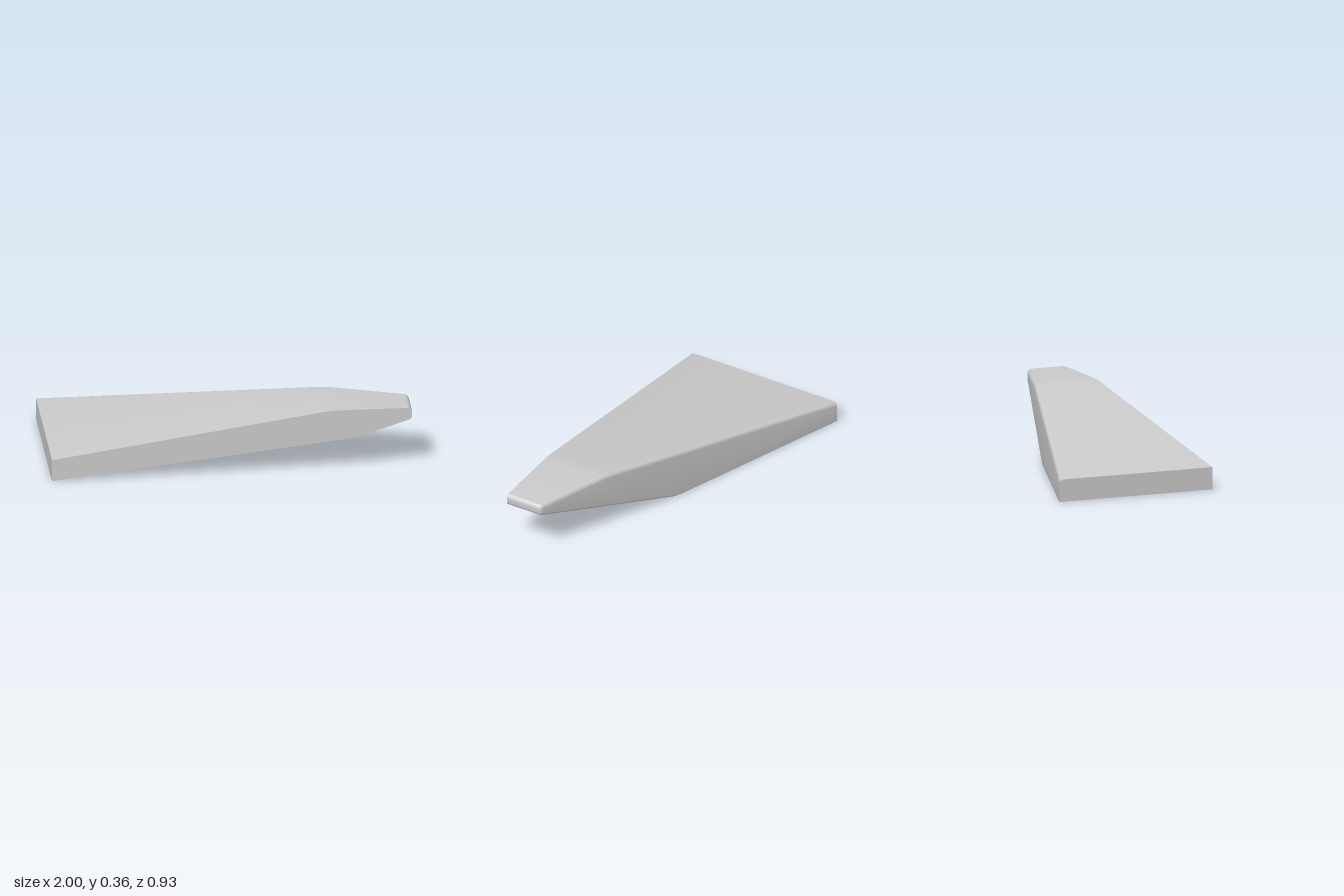
import * as THREE from 'three';
import { toCreasedNormals } from 'three/addons/utils/BufferGeometryUtils.js';

const FRONT = 0.465, TIP_R = 0.025, TIP_X = 1 - TIP_R, FOOT_X = 0.09, SHOULDER_X = 0.69;
const lerp = THREE.MathUtils.lerp;

// Height of the top: a slope softly blended into a level stretch
function topAt(x) {
  const s = 0.1516, k = 0.05, d = x - 0.55;
  if (d < -k) return 0.36 + s * d;
  if (d < k) return 0.36 - s * (k - d) ** 2 / (4 * k);
  return 0.36;
}
const undersideAt = x => Math.max(0, 0.325 * (x - FOOT_X));
const backAt = x => -FRONT + 0.3575 * (x + 1);

// Cross-section [z, y] at x, running over the top, down the back and along the underside
function section(x) {
  let top = topAt(x), bottom = undersideAt(x), back = backAt(x);
  // round the tip in profile and in plan
  const dx = Math.max(0, x - TIP_X), drop = Math.sqrt(Math.max(0, TIP_R ** 2 - dx ** 2));
  if (dx > 0) top = 0.335 + drop;
  if (x > 0.983) {
    bottom = 0.314 - drop;
    back = 0.268 - drop;
  }
  // front lower edge, and the crease cutting the underside towards the front
  let frontY = 0.1154 * (x + 1), creaseZ, creaseY = bottom;
  if (x <= FOOT_X) creaseZ = lerp(FRONT, 0.07, (x + 1) / (FOOT_X + 1));
  else if (x < SHOULDER_X) creaseZ = lerp(0.07, FRONT, (x - FOOT_X) / (SHOULDER_X - FOOT_X));
  else { creaseZ = FRONT; frontY = bottom; }

  const r = Math.min(0.025, (top - bottom) * 0.45);
  const rb = x <= FOOT_X - 0.05 ? 0.001 : Math.min(0.012, (top - bottom) * 0.45);
  const pts = [[FRONT, top]], N = 8;
  for (let i = 0; i <= N; i++) {
    const a = (i / N) * Math.PI / 2;
    pts.push([back + r * (1 - Math.sin(a)), top - r * (1 - Math.cos(a))]);
  }
  for (let i = 0; i <= N; i++) {
    const a = (i / N) * Math.PI / 2;
    pts.push([back + rb * (1 - Math.cos(a)), bottom + rb * (1 - Math.sin(a))]);
  }
  pts.push([creaseZ, creaseY], [FRONT, frontY]);
  return pts.map(([z, y]) => new THREE.Vector3(x, y, z));
}

// Skin the sections and close both ends
function loft(stations) {
  const rows = stations.map(section), pos = [];
  const ab = new THREE.Vector3(), ac = new THREE.Vector3();
  const tri = (a, b, c) => {
    ab.subVectors(b, a);
    ac.subVectors(c, a);
    if (ab.cross(ac).length() < 1e-9) return;
    for (const p of [a, b, c]) pos.push(p.x, p.y, p.z);
  };
  const n = rows[0].length;
  for (let i = 0; i < rows.length - 1; i++) {
    for (let j = 0; j < n; j++) {
      const k = (j + 1) % n, a = rows[i][j], b = rows[i][k], c = rows[i + 1][k], d = rows[i + 1][j];
      tri(a, d, c);
      tri(a, c, b);
    }
  }
  const first = rows[0], last = rows[rows.length - 1];
  for (let j = 1; j < n - 1; j++) {
    tri(first[0], first[j], first[j + 1]);
    tri(last[0], last[j + 1], last[j]);
  }
  const g = new THREE.BufferGeometry();
  g.setAttribute('position', new THREE.Float32BufferAttribute(pos, 3));
  return toCreasedNormals(g, 0.25);
}

export function createModel() {
  const group = new THREE.Group();
  group.name = 'taperedWing';
  const stations = [-1, FOOT_X - 0.05, FOOT_X, 0.5, 0.525, 0.55, 0.575, 0.6, SHOULDER_X];
  // closely spaced stations around the rounded tip
  for (let i = 0; i <= 8; i++) stations.push(TIP_X + TIP_R * Math.sin((i / 8) * Math.PI / 2));
  const material = new THREE.MeshStandardMaterial({ color: 0xcccccc });
  const wing = new THREE.Mesh(loft(stations), material);
  wing.name = 'wingPanel';
  group.add(wing);
  return group;
}
